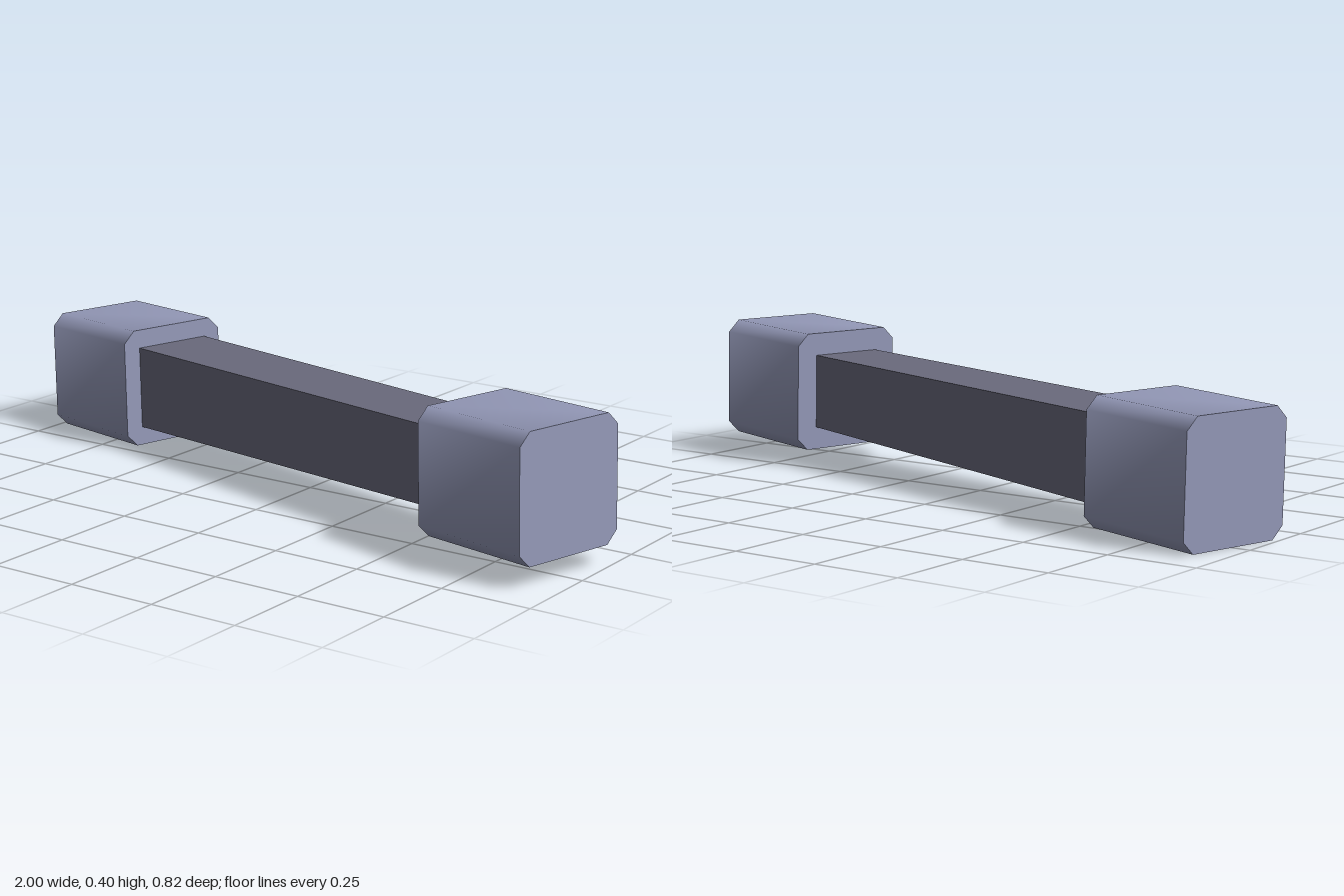
import * as THREE from 'three';
import { toCreasedNormals } from 'three/addons/utils/BufferGeometryUtils.js';

const HALF = 0.17, CHAMFER = 0.034, CAP_LENGTH = 0.361, CAP_X = 0.806;

// Square cross-section with cut corners, extruded along x
function capGeometry() {
  const a = HALF, b = HALF - CHAMFER;
  const outline = new THREE.Shape(
    [[a, -b], [a, b], [b, a], [-b, a], [-a, b], [-a, -b], [-b, -a], [b, -a]]
      .map(([x, y]) => new THREE.Vector2(x, y)));
  const geometry = new THREE.ExtrudeGeometry(outline, { depth: CAP_LENGTH, bevelEnabled: false });
  geometry.translate(0, 0, -CAP_LENGTH / 2).rotateY(Math.PI / 2);
  // Soft shading around the corners, sharp edges at the ends
  return toCreasedNormals(geometry, 1.0);
}

// Square bar that narrows slightly toward +x
function barGeometry() {
  const geometry = new THREE.BoxGeometry(1.4, 1, 1).toNonIndexed();
  const p = geometry.attributes.position;
  for (let i = 0; i < p.count; i++) {
    const size = 0.223 - 0.0185 * p.getX(i);
    p.setY(i, p.getY(i) * size);
    p.setZ(i, p.getZ(i) * size);
  }
  geometry.computeVertexNormals();
  return geometry;
}

export function createModel() {
  const capPaint = new THREE.MeshStandardMaterial({ color: 0x9499b8 });
  capPaint.name = 'pale blue grey';
  const barPaint = new THREE.MeshStandardMaterial({ color: 0x6a6a7c });
  barPaint.name = 'dark grey';

  const model = new THREE.Group();
  model.name = 'cappedBar';

  const bar = new THREE.Mesh(barGeometry(), barPaint);
  bar.name = 'bar';
  model.add(bar);

  // A cap on each end
  const geometry = capGeometry();
  for (const [name, side] of [['leftCap', 1], ['rightCap', -1]]) {
    const cap = new THREE.Mesh(geometry, capPaint);
    cap.name = name;
    cap.position.x = side * CAP_X;
    model.add(cap);
  }

  // The whole piece lies turned and slightly tilted
  model.rotation.set(0, -0.253, 0.028, 'YZX');
  model.position.y = 0.2;

  const root = new THREE.Group();
  root.add(model);
  return root;
}
